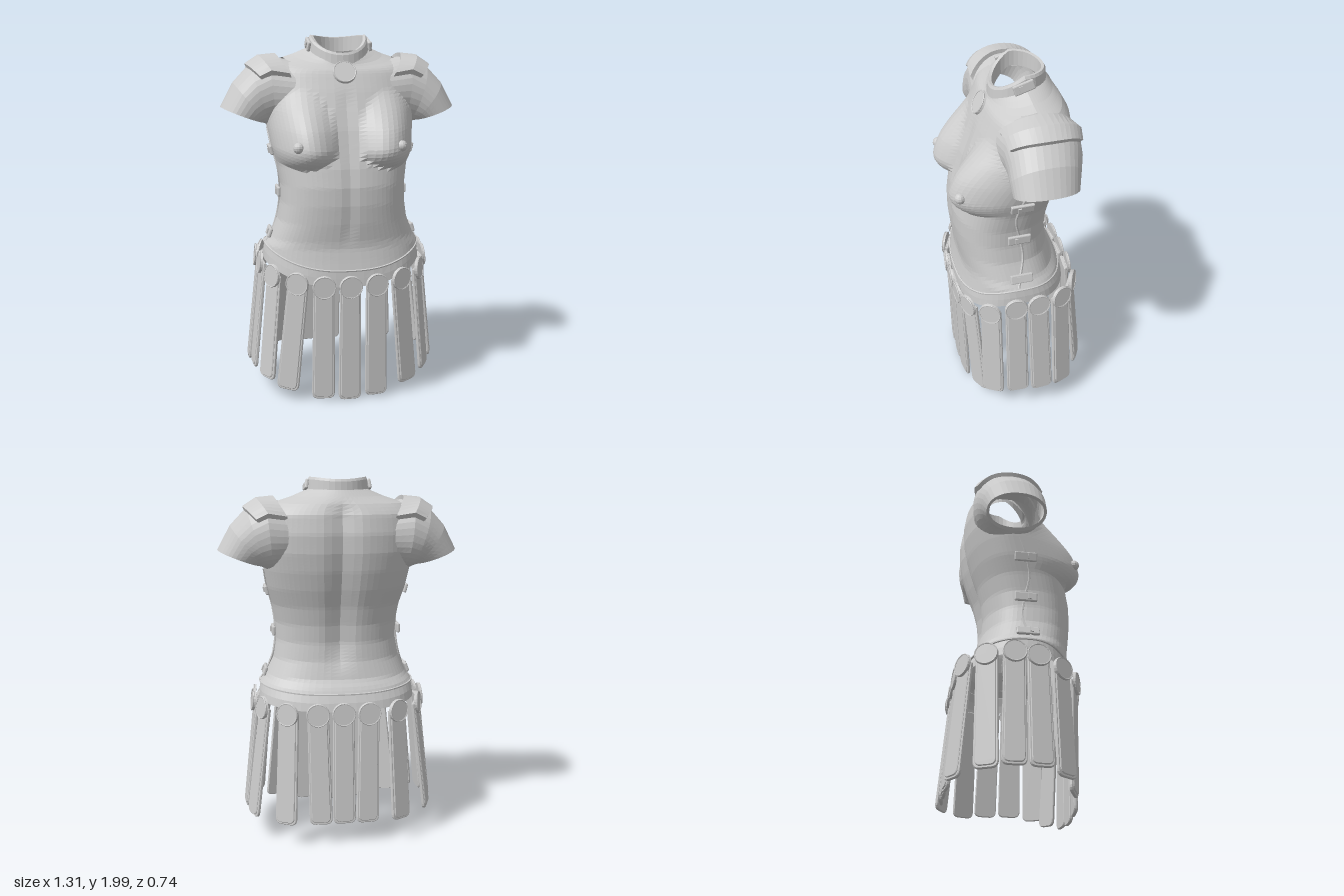
import * as THREE from 'three';
import { RoundedBoxGeometry } from 'three/addons/geometries/RoundedBoxGeometry.js';

const V = (x, y, z) => new THREE.Vector3(x, y, z);
const shellMat = new THREE.MeshStandardMaterial({ color: 0xcccccc, flatShading: true, side: THREE.DoubleSide });
const mat = new THREE.MeshStandardMaterial({ color: 0xcccccc, flatShading: true });

function add(parent, name, geometry, material = mat) {
  const m = new THREE.Mesh(geometry, material);
  m.name = name;
  parent.add(m);
  return m;
}

// Grid surface from point(u, v) with u, v in 0..1; skip(centre) cuts openings
function loft(nu, nv, point, skip = () => false) {
  const pts = [], idx = [];
  for (let j = 0; j <= nv; j++) for (let i = 0; i <= nu; i++) pts.push(point(i / nu, j / nv));
  for (let j = 0; j < nv; j++) for (let i = 0; i < nu; i++) {
    const a = j * (nu + 1) + i, b = a + 1, c = a + nu + 1, d = c + 1;
    const mid = pts[a].clone().add(pts[d]).multiplyScalar(0.5);
    if (!skip(mid)) idx.push(a, b, d, a, d, c);
  }
  const g = new THREE.BufferGeometry().setFromPoints(pts);
  g.setIndex(idx);
  g.computeVertexNormals();
  return g;
}

// Linear lookup in rows keyed by their first column
function lookup(rows, k) {
  let i = 0;
  while (i < rows.length - 2 && k > rows[i + 1][0]) i++;
  const t = THREE.MathUtils.clamp((k - rows[i][0]) / (rows[i + 1][0] - rows[i][0]), 0, 1);
  return rows[i].map((a, n) => a + (rows[i + 1][n] - a) * t);
}

// Body sections: height, half width, front z, back z
const BODY = [
  [0.66, 0.455, 0.335, -0.285], [0.74, 0.45, 0.33, -0.28], [0.8, 0.447, 0.318, -0.265], [0.86, 0.435, 0.308, -0.235],
  [0.9, 0.405, 0.31, -0.205], [1.0, 0.362, 0.325, -0.178], [1.1, 0.345, 0.335, -0.17], [1.2, 0.345, 0.335, -0.18],
  [1.3, 0.36, 0.318, -0.203], [1.4, 0.388, 0.29, -0.237], [1.5, 0.405, 0.262, -0.265], [1.6, 0.42, 0.225, -0.283],
  [1.7, 0.42, 0.185, -0.288], [1.8, 0.41, 0.14, -0.272], [1.86, 0.36, 0.118, -0.24], [1.89, 0.26, 0.11, -0.215],
  [1.93, 0.165, 0.1, -0.185],
];
const spow = (v, p) => Math.sign(v) * Math.abs(v) ** p;

function bodyPoint(theta, y, grow = 0) {
  const [, w, zf, zb] = lookup(BODY, y);
  const p = THREE.MathUtils.lerp(0.8, 1, THREE.MathUtils.smoothstep(y, 1.82, 1.9));
  const c = Math.cos(theta), mid = (zf + zb) / 2;
  const x = (w + grow) * spow(Math.sin(theta), p);
  let z = mid + ((zf - zb) / 2 + grow) * spow(c, p);
  if (c > 0) {
    // breasts: crisp fold below, soft slope above
    const e = (y - 1.41) / (y > 1.41 ? 0.3 : 0.115);
    const d = Math.hypot((Math.abs(x) - 0.235) / 0.18, e);
    if (d < 1) z += 0.112 * (1 - d * d) ** (1.15 + 0.35 * e / Math.max(d, 0.01));
    // shallow middle line
    z -= 0.008 * Math.exp(-((x / 0.03) ** 2)) * THREE.MathUtils.smoothstep(y, 0.85, 1) * (1 - THREE.MathUtils.smoothstep(y, 1.6, 1.75));
  } else {
    // spine groove
    const s = THREE.MathUtils.smoothstep(y, 0.9, 1.1) * (1 - THREE.MathUtils.smoothstep(y, 1.78, 1.9));
    z += 0.03 * s * Math.exp(-((x / 0.06) ** 2));
  }
  const drop = 0.065 * Math.max(0, c) * THREE.MathUtils.smoothstep(y, 1.78, 1.93);
  return V(x, y - drop, z);
}

const hem = (theta) => {
  const c = Math.cos(theta);
  return 0.86 - (c > 0 ? 0.115 : 0.03) * c * c;
};

// Sleeve sections: key, top x, top y, bottom x, bottom y, centre z, half depth
const SLEEVE = [
  [0, 0.24, 1.855, 0.3, 1.52, -0.05, 0.195], [1, 0.4, 1.885, 0.36, 1.505, -0.065, 0.196],
  [2, 0.5, 1.83, 0.39, 1.505, -0.06, 0.188], [3, 0.585, 1.74, 0.405, 1.512, -0.048, 0.178],
  [4, 0.655, 1.61, 0.42, 1.522, -0.04, 0.165], [4.3, 0.634, 1.607, 0.435, 1.535, -0.04, 0.15],
  [5.3, 0.56, 1.74, 0.41, 1.53, -0.045, 0.165],
];
function sleevePoint(s, phi, grow = 0) {
  const [, tx, ty, bx, by, zc, rz] = lookup(SLEEVE, s);
  const axis = V(tx - bx, ty - by, 0), half = axis.length() / 2 + grow;
  return V((tx + bx) / 2, (ty + by) / 2, zc + (rz + grow) * spow(Math.sin(phi), 0.92))
    .addScaledVector(axis.normalize(), half * spow(Math.cos(phi), 0.95));
}

// Round medallion with a raised rim, facing +z
function medallion(name, r) {
  const g = new THREE.Group();
  g.name = name;
  add(g, 'disc', new THREE.CylinderGeometry(r * 0.94, r, 0.014, 24).rotateX(Math.PI / 2));
  add(g, 'rim', new THREE.TorusGeometry(r * 0.93, 0.004, 5, 24)).position.z = 0.007;
  return g;
}

// Hanging strap with rounded lower corners, its top at y = 0, facing +z
function strapGeometry(w, len, depth, r) {
  const h = w / 2, s = new THREE.Shape();
  s.moveTo(-h * 0.92, 0).lineTo(-h, -len + r);
  s.quadraticCurveTo(-h, -len, -h + r, -len);
  s.lineTo(h - r, -len);
  s.quadraticCurveTo(h, -len, h, -len + r);
  s.lineTo(h * 0.92, 0);
  return new THREE.ExtrudeGeometry(s, { depth, bevelThickness: 0.004, bevelSize: 0.004, bevelSegments: 1, curveSegments: 4 });
}

// Straps: top x, y, z, bottom x, y, z, facing angle in degrees from the front
const STRAPS = [
  [0, 0.66, 0.34, 0, 0.005, 0.328, 0], [0.145, 0.665, 0.336, 0.15, 0.02, 0.325, 6],
  [0.285, 0.685, 0.308, 0.345, 0.07, 0.28, 26], [0.405, 0.71, 0.215, 0.455, 0.125, 0.22, 58],
  [0.455, 0.755, 0.085, 0.515, 0.155, 0.085, 86], [0.465, 0.765, -0.04, 0.53, 0.155, -0.055, 93],
  [0.425, 0.755, -0.18, 0.5, 0.14, -0.19, 112], [0.3, 0.74, -0.28, 0.325, 0.13, -0.335, 150],
  [0.14, 0.735, -0.302, 0.13, 0.125, -0.35, 175], [0, 0.735, -0.302, 0, 0.125, -0.35, 180],
];

function makeStrap([tx, ty, tz, bx, by, bz, deg], side) {
  const g = new THREE.Group(), a = THREE.MathUtils.degToRad(deg);
  g.name = 'skirtStrap';
  const top = V(tx * side, ty, tz), up = top.clone().sub(V(bx * side, by, bz));
  const len = up.length(), w = 0.118;
  up.normalize();
  const right = up.clone().cross(V(Math.sin(a) * side, 0, Math.cos(a))).normalize();
  g.quaternion.setFromRotationMatrix(new THREE.Matrix4().makeBasis(right, up, right.clone().cross(up)));
  g.position.copy(top);
  add(g, 'strap', strapGeometry(w, len, 0.01, 0.03)).position.z = -0.012;
  add(g, 'strapPanel', strapGeometry(w - 0.02, len - 0.012, 0.004, 0.026));
  const m = medallion('strapMedallion', 0.064);
  m.position.z = 0.012;
  g.add(m);
  return g;
}

function makeBuckle(name, x, y, z, tilt, len) {
  const g = new THREE.Group();
  g.name = name;
  add(g, 'tab', new RoundedBoxGeometry(0.018, 0.052, len, 1, 0.006));
  const peg = add(g, 'peg', new THREE.BoxGeometry(0.014, 0.03, 0.018));
  peg.position.set(Math.sign(x) * 0.009, 0, len * 0.15);
  g.position.set(x, y, z);
  g.rotation.z = tilt;
  return g;
}

export function createModel() {
  const root = new THREE.Group(), TAU = Math.PI * 2;
  root.name = 'cuirass';

  // Breastplate and backplate, open at the arms, neck and hem
  const inArmhole = (p) => Math.abs(p.x) > 0.28 && Math.hypot((p.y - 1.69) / 0.178, (p.z + 0.05) / 0.168) < 1;
  add(root, 'torso', loft(72, 60, (u, v) => {
    const h = hem(u * TAU);
    return bodyPoint(u * TAU, h + (1.93 - h) * v);
  }, inArmhole), shellMat);

  // Waist band below the hem, with a rolled hem edge
  add(root, 'waistBand', loft(56, 2, (u, v) => bodyPoint(u * TAU, hem(u * TAU) - 0.09 * (1 - v), -0.006)), shellMat);
  const hemPts = Array.from({ length: 40 }, (_, i) => bodyPoint(i / 40 * TAU, hem(i / 40 * TAU)));
  add(root, 'hemEdge', new THREE.TubeGeometry(new THREE.CatmullRomCurve3(hemPts, true), 80, 0.006, 5, true));

  // Collar: radius and height from a flared foot over the rolled top to the inside
  const COLLAR = [[0, 0.185, -0.015], [1, 0.167, 0.02], [2, 0.162, 0.07], [3, 0.154, 0.083], [4, 0.138, 0.08], [5, 0.134, 0.0]];
  add(root, 'collar', loft(32, 5, (u, v) => {
    const c = Math.cos(u * TAU), [, r, h] = lookup(COLLAR, v * 5);
    const base = 1.912 - 0.095 * Math.max(0, c) ** 1.1 - 0.012 * Math.max(0, -c) ** 3;
    return V(r * Math.sin(u * TAU), base + h, -0.038 + r * 0.9 * c);
  }), shellMat);

  // Chest medallion
  const chest = medallion('chestMedallion', 0.064);
  chest.position.set(0, 1.8, 0.158);
  chest.rotation.x = -0.5;
  root.add(chest);

  for (const side of [1, -1]) {
    // Cap sleeve with a turned-in rim, and raised shoulder guard
    const shoulder = new THREE.Group();
    shoulder.name = side > 0 ? 'leftShoulder' : 'rightShoulder';
    shoulder.scale.x = side;
    root.add(shoulder);
    add(shoulder, 'sleeve', loft(36, 16, (u, v) => {
      const k = Math.round(v * 16);
      return sleevePoint(k <= 12 ? k / 3 : 4.3 + (k - 13) / 3, u * TAU);
    }), shellMat);
    const GUARD = [[0, 0.7, -0.01], [1, 0.7, 0.022], [2, 1.4, 0.026], [3, 2.1, 0.022], [4, 2.1, -0.01]];
    add(shoulder, 'shoulderGuard', loft(18, 4, (u, v) => {
      const k = u * 2 - 1, [, s, grow] = lookup(GUARD, v * 4);
      const edge = Math.abs(k) > 0.99 ? -0.01 : grow;
      return sleevePoint(s - 0.55 * k * k, Math.min(Math.abs(k), 0.97) * Math.sign(k) * 1.15, edge);
    }), shellMat);

    // Nipple
    const nip = add(root, 'nipple', new THREE.SphereGeometry(0.03, 12, 8));
    nip.position.set(side * 0.275, 1.42, 0.333);

    // Side seam and its buckles
    const seam = [[1.5, 0], [1.4, 0.035], [1.28, 0.06], [1.15, 0.035], [1.03, 0.02], [0.92, 0.045], [0.87, 0.06]]
      .map(([y, z]) => V(side * (lookup(BODY, y)[1] - 0.001), y, z));
    add(root, 'sideSeam', new THREE.TubeGeometry(new THREE.CatmullRomCurve3(seam), 24, 0.007, 5));
    for (const [y, z, tilt] of [[1.38, 0.035, -0.25], [1.15, 0.04, 0], [0.92, 0.04, 0.35]])
      root.add(makeBuckle('sideBuckle', side * (lookup(BODY, y)[1] + 0.01), y, z, side * tilt, 0.125));
    const neckBuckle = makeBuckle('collarBuckle', side * 0.17, 1.945, -0.03, side * 0.15, 0.11);
    neckBuckle.rotation.x = 0.3;
    root.add(neckBuckle);
  }

  // Skirt of hanging straps
  const skirt = new THREE.Group();
  skirt.name = 'skirt';
  root.add(skirt);
  for (const s of STRAPS) for (const side of s[0] ? [1, -1] : [1]) skirt.add(makeStrap(s, side));
  return root;
}
